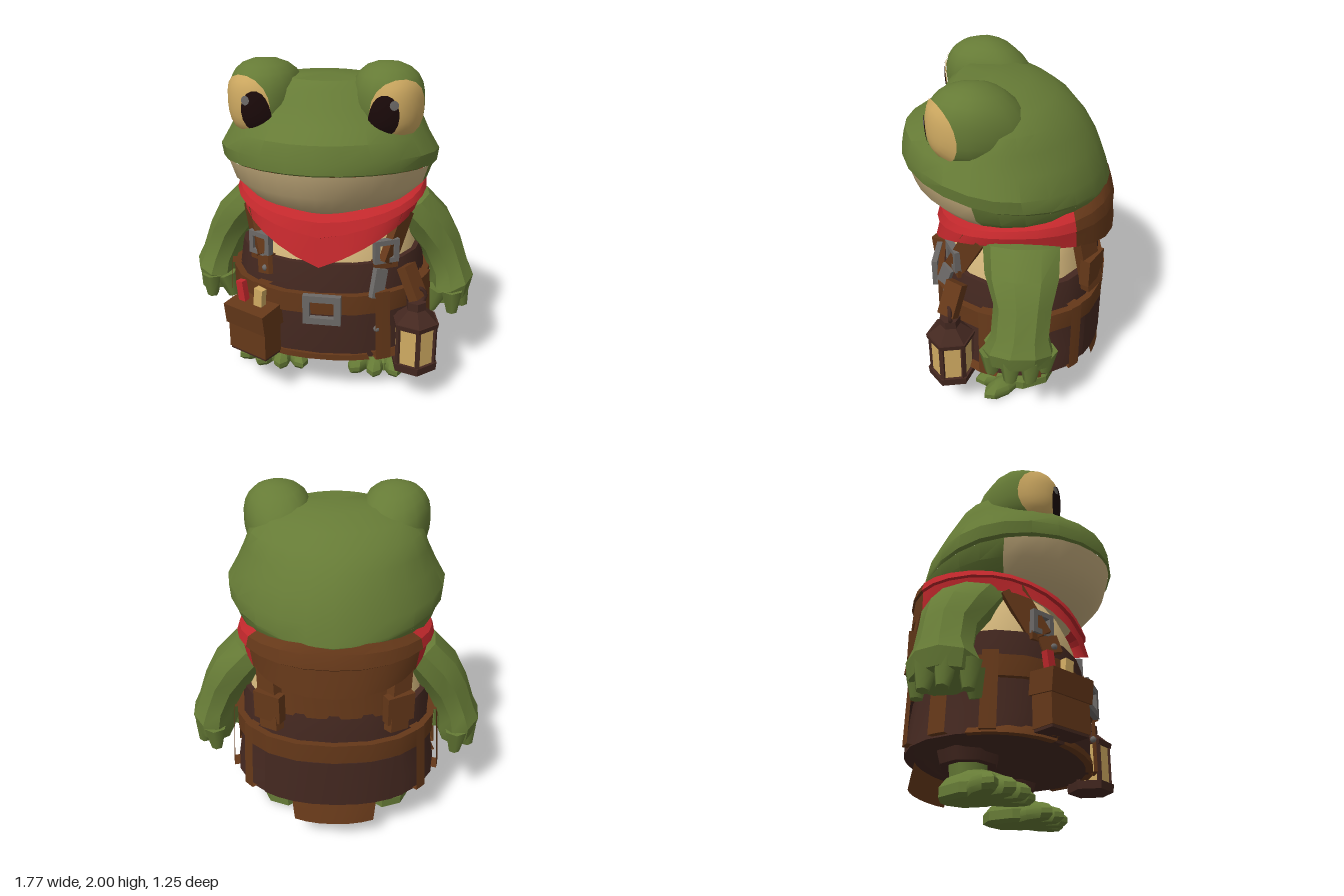
import * as THREE from 'three';
import { toCreasedNormals } from 'three/addons/utils/BufferGeometryUtils.js';

const PI = Math.PI;
const mat = (name, color, side = THREE.FrontSide) => {
  const m = new THREE.MeshStandardMaterial({ color, side });
  m.name = name;
  return m;
};

// Point on an oval at angle a (0 = front, growing toward +x); e < 1 is boxy, e > 1 is pointed
const bend = (v, e) => Math.sign(v) * Math.abs(v) ** e;
const oval = (a, y, w, zf, zb, e = 0.9) =>
  [w * bend(Math.sin(a), e), y, (zf + zb) / 2 + ((zf - zb) / 2) * bend(Math.cos(a), e)];

// Skin a grid of rows (bottom to top) across an arc; point(row, a) gives each corner
function loft(rows, point, n = 20, a0 = 0, a1 = 2 * PI, crease = 0.55) {
  const pos = [], idx = [];
  rows.forEach((row) => {
    for (let i = 0; i <= n; i++) pos.push(...point(row, a0 + ((a1 - a0) * i) / n));
  });
  for (let r = 0; r < rows.length - 1; r++)
    for (let i = 0; i < n; i++) {
      const k = r * (n + 1) + i, u = k + n + 1;
      idx.push(k, k + 1, u + 1, k, u + 1, u);
    }
  const g = new THREE.BufferGeometry();
  g.setAttribute('position', new THREE.Float32BufferAttribute(pos, 3));
  g.setIndex(idx);
  return toCreasedNormals(g, crease);
}

export function createModel() {
  const D = THREE.DoubleSide;
  const green = mat('frog green', 0x667b36), jaw = mat('jaw cream', 0xcab180), shirt = mat('shirt cream', 0xd8ba7e),
    amber = mat('amber', 0xd0ab62), red = mat('scarf red', 0xc2282c, D), dark = mat('dark leather', 0x442820, D),
    brown = mat('brown leather', 0x653819, D), grey = mat('iron grey', 0x6c6967), black = mat('pupil black', 0x1b0a0a);
  const model = new THREE.Group();
  const add = (name, g, m, parent = model) => {
    const mesh = new THREE.Mesh(g, m);
    mesh.name = name;
    parent.add(mesh);
    return mesh;
  };
  const group = (name, x, y, z, ry = 0) => {
    const g = new THREE.Group();
    g.name = name;
    g.position.set(x, y, z);
    g.rotation.y = ry;
    model.add(g);
    return g;
  };
  const box = (w, h, d, x = 0, y = 0, z = 0) => new THREE.BoxGeometry(w, h, d).translate(x, y, z);
  // Flat bar from p to q, its broad face turned away from the body's axis
  const beam = (name, m, p, q, w, d) => {
    const a = new THREE.Vector3(...p), b = new THREE.Vector3(...q);
    const Y = b.clone().sub(a), len = Y.length(), mid = a.add(b).multiplyScalar(0.5);
    Y.normalize();
    const Z = new THREE.Vector3(mid.x, 0, mid.z);
    Z.addScaledVector(Y, -Z.dot(Y)).normalize();
    const X = new THREE.Vector3().crossVectors(Y, Z);
    add(name, box(w, len, d).applyMatrix4(new THREE.Matrix4().makeBasis(X, Y, Z).setPosition(mid)), m);
  };
  const frame = (w, h, t, depth) => {
    const rect = (s, a, b) => s.moveTo(-a, -b).lineTo(a, -b).lineTo(a, b).lineTo(-a, b).closePath();
    const s = rect(new THREE.Shape(), w / 2, h / 2);
    s.holes.push(rect(new THREE.Path(), w / 2 - t, h / 2 - t));
    return new THREE.ExtrudeGeometry(s, { depth, bevelEnabled: false });
  };

  // Head: rows of [front y, back y, half width, front z, back z]
  const headPoint = ([yf, yb, w, zf, zb], a) => oval(a, yb + ((yf - yb) * (1 + Math.cos(a))) / 2, w, zf, zb, 1.08);
  const mouth = [1.475, 1.33, 0.6, 0.61, -0.575], corner = 1.3;
  const lower = [[1.18, 1.18, 0, 0, 0], [1.18, 1.2, 0.34, 0.37, -0.36], [1.24, 1.21, 0.48, 0.49, -0.5],
    [1.34, 1.28, 0.57, 0.57, -0.56], mouth];
  const upper = [mouth, [1.485, 1.35, 0.62, 0.625, -0.57], [1.55, 1.44, 0.63, 0.62, -0.545],
    [1.635, 1.56, 0.57, 0.595, -0.5], [1.7, 1.68, 0.525, 0.5, -0.43], [1.78, 1.77, 0.49, 0.4, -0.35],
    [1.86, 1.84, 0.41, 0.35, -0.25], [1.905, 1.9, 0.27, 0.3, -0.1], [1.915, 1.915, 0, 0.1, 0.1]];
  add('head', loft(upper, headPoint, 24), green);
  add('jaw', loft(lower, headPoint, 14, -corner, corner), jaw);
  add('nape', loft(lower, headPoint, 14, corner, 2 * PI - corner), green);

  // Trunk: rows of [y, half width, front z, back z]
  const ringPoint = ([y, w, zf, zb], a) => oval(a, y, w, zf, zb);
  add('shirt', loft([[0.82, 0.53, 0.37, -0.5], [1, 0.5, 0.35, -0.47], [1.15, 0.45, 0.28, -0.44], [1.25, 0.38, 0.22, -0.38]],
    ringPoint), shirt);
  add('backYoke', loft([[0.86, 0.54, 0.37, -0.535], [1, 0.52, 0.35, -0.525], [1.14, 0.48, 0.28, -0.52]], ringPoint,
    8, PI - 0.65, PI + 0.65), brown);
  add('trousers', loft([[0.25, 0, -0.1, -0.1], [0.25, 0.42, 0.22, -0.42], [0.28, 0.52, 0.32, -0.48], [0.28, 0.625, 0.42, -0.575],
    [0.4, 0.605, 0.425, -0.57], [0.6, 0.58, 0.425, -0.55], [0.75, 0.57, 0.415, -0.55], [0.88, 0.55, 0.395, -0.535],
    [0.88, 0.48, 0.33, -0.46]], ringPoint, 20, 0, 2 * PI, 0.4), dark);
  const strip = (name, m, y0, y1, grow, n, a0, a1, flare = 0) => {
    const o = (y, e, f) => [y, 0.58 + e + f, 0.425 + e, -0.555 - e];
    add(name, loft([o(y0, -0.03, flare), o(y0, grow, flare), o(y1, grow, 0), o(y1, -0.03, 0)], ringPoint, n, a0, a1, 0.4), m);
  };
  strip('belt', brown, 0.59, 0.71, 0.032, 20, 0, 2 * PI);
  for (const s of [-1, 1])
    for (const [a, w] of [[0.57, 0.08], [1.3, 0.08], [1.75, 0.09], [2.25, 0.07]])
      strip('beltTab', brown, 0.29, 0.73, 0.045, 2, s * a - w, s * a + w, 0.03);
  strip('hemPatch', brown, 0.275, 0.33, 0.015, 5, -1.5, -0.55, 0.05);
  strip('hemPatch', brown, 0.275, 0.32, 0.015, 4, 0.5, 1.4, 0.05);
  strip('hemPatch', brown, 0.275, 0.31, 0.012, 5, -0.45, 0.45, 0.03);
  strip('backPanel', dark, 0.28, 0.585, 0.025, 8, 2.45, 2 * PI - 2.45, 0.02);
  add('backFlap', loft([[0.13, 0.5, 0.4, -0.58], [0.2, 0.52, 0.4, -0.56], [0.3, 0.54, 0.4, -0.53]], ringPoint,
    6, PI - 0.45, PI + 0.45), brown);
  add('beltBuckle', frame(0.22, 0.18, 0.04, 0.035).translate(0.02, 0.63, 0.45), grey);

  // Scarf and the leather shawl behind it
  const wrapPoint = ([k, w, zf, zb], a) => {
    const c = Math.cos(a), s = Math.abs(Math.sin(a)), top = 1.265 - 0.08 * c + 0.025 * s * s;
    const hem = c > 0 ? 0.885 + 0.26 * s : 1.145 - 0.1 * c * c;
    return oval(a, top + (hem - top) * k, w, zf, zb);
  };
  const wrap = [[1, 0.53, 0.45, -0.62], [0.45, 0.55, 0.415, -0.6], [0.42, 0.57, 0.435, -0.61], [0.15, 0.555, 0.41, -0.59],
    [0, 0.5, 0.35, -0.56]];
  add('scarf', loft(wrap, wrapPoint, 20, -2.15, 2.15, 0.4), red);
  add('shawl', loft(wrap, wrapPoint, 8, 2.15, 2 * PI - 2.15, 0.4), brown);

  for (const s of [-1, 1]) {
    // Eye: a bulge sloping down into the head at the back, with eye, pupil and glint laid on it
    const bulge = (g) => {
      const p = g.attributes.position;
      for (let i = 0; i < p.count; i++) {
        const x = p.getX(i), y = p.getY(i), z = p.getZ(i), k = Math.sqrt(1 + 0.6 * y * y), back = Math.max(0, -z);
        p.setXYZ(i, s * (0.34 - 0.05 * back) + x * k * 0.2, 1.785 + y * 0.215 - 0.1 * back * back,
          0.17 + z * (z > 0 ? 0.24 * k : 0.32));
      }
      return toCreasedNormals(g, 0.6);
    };
    const patch = (cx, cy, rx, ry, r) => {
      const g = new THREE.RingGeometry(0, 1, 18, 5), p = g.attributes.position;
      for (let i = 0; i < p.count; i++) {
        const u = cx + p.getX(i) * rx, v = cy + p.getY(i) * ry;
        p.setXYZ(i, u * r, v * r, r * Math.sqrt(Math.max(0, 1 - u * u - v * v)));
      }
      return bulge(g.rotateY(s * 0.47));
    };
    add('browBulge', bulge(new THREE.SphereGeometry(1, 16, 12)), green);
    add('eye', patch(0, -0.06, 0.76, 0.74, 1.025), amber);
    add('pupil', patch(s * -0.42, -0.17, 0.34, 0.52, 1.045), black);
    add('glint', patch(s * -0.22, 0.12, 0.11, 0.11, 1.06), grey);

    // Arm: rows of [x, y, z, half width, half depth], from hand to shoulder
    const arm = [[0.755, 0.52, -0.1, 0, 0], [0.755, 0.52, -0.1, 0.11, 0.18], [0.75, 0.61, -0.1, 0.135, 0.2],
      [0.73, 0.7, -0.11, 0.115, 0.165], [0.665, 0.86, -0.12, 0.125, 0.165], [0.575, 1, -0.11, 0.14, 0.21],
      [0.46, 1.13, -0.1, 0.13, 0.22], [0.4, 1.18, -0.1, 0, 0]];
    add('arm', loft(arm, ([x, y, z, w, d], a) => [s * x + w * Math.sin(a), y + s * w * 0.35 * Math.sin(a), z + d * Math.cos(a)],
      9, 0, 2 * PI, 0.5), green);
    for (const [x, z, tilt] of [[0.65, 0.03, -0.3], [0.76, 0.05, 0.05], [0.815, -0.06, 0.2], [0.81, -0.17, 0.15], [0.73, -0.25, 0]]) {
      const f = add('finger', new THREE.CylinderGeometry(0.07, 0.035, 0.15, 6), green);
      f.position.set(s * x, 0.525, z);
      f.rotation.z = s * tilt;
    }

    // Leg, webbed foot and toes
    add('leg', new THREE.CylinderGeometry(0.125, 0.1, 0.24, 8).translate(s * 0.31, 0.2, -0.14), green);
    const foot = group('foot', s * 0.33, 0, -0.1, s * 0.15);
    const pad = (name, rx, ry, rz, x, y, z, turn) => {
      const g = new THREE.SphereGeometry(1, 8, 7).scale(rx, ry, rz).rotateY(turn).translate(x, y, z), p = g.attributes.position;
      for (let i = 0; i < p.count; i++) p.setY(i, Math.max(0.005, p.getY(i)));
      add(name, toCreasedNormals(g, 0.5), green, foot);
    };
    pad('sole', 0.16, 0.12, 0.22, 0, 0.05, 0.01, 0);
    for (const t of [-0.6, -0.2, 0.2, 0.6])
      pad('toe', 0.065, 0.065, 0.15, Math.sin(t) * 0.24, 0.045, Math.cos(t) * 0.16, t);
    add('trouserCuff', new THREE.CylinderGeometry(0.18, 0.16, 0.07, 8).translate(s * 0.31, 0.235, -0.14), dark);

    // Braces with buckles, front and back
    beam('frontBrace', brown, [s * 0.46, 1.15, 0.16], [s * 0.37, 0.87, 0.295], 0.13, 0.045);
    const b = group('braceBuckle', s * 0.355, 0.95, 0.285, s * 0.5);
    add('buckleFrame', frame(0.15, 0.14, 0.03, 0.04), grey, b);
    add('buckleLoop', box(0.15, 0.05, 0.05, 0, -0.085, 0), brown, b);
    beam('backBrace', brown, [s * 0.37, 1.2, -0.42], [s * 0.35, 0.78, -0.5], 0.13, 0.06);
    add('backLoop', box(0.17, 0.17, 0.06).rotateY(-s * 0.5).translate(s * 0.36, 0.92, -0.49), brown);
  }
  beam('braceTab', grey, [0.34, 0.85, 0.335], [0.32, 0.69, 0.39], 0.085, 0.035);
  beam('braceTab', brown, [-0.34, 0.88, 0.32], [-0.33, 0.78, 0.35], 0.12, 0.03);
  add('stud', new THREE.SphereGeometry(0.02, 8, 6).translate(-0.33, 0.82, 0.36), grey);
  add('stud', new THREE.SphereGeometry(0.02, 8, 6).translate(0.33, 0.49, 0.395), grey);

  // Tool pouch with flap and pencils
  const pouch = group('toolPouch', -0.395, 0.46, 0.41, -0.48);
  add('pouchBody', box(0.28, 0.27, 0.14, 0, -0.02, 0), brown, pouch);
  add('pouchFlap', box(0.3, 0.13, 0.17).rotateX(0.12).translate(0, 0.085, 0.005), brown, pouch);
  add('pouchBase', box(0.27, 0.03, 0.13, 0, -0.155, 0), dark, pouch);
  add('redTool', box(0.05, 0.16, 0.04).rotateZ(0.15).translate(-0.08, 0.19, 0), red, pouch);
  add('yellowTool', box(0.06, 0.14, 0.04).rotateZ(-0.1).translate(0.05, 0.19, 0), amber, pouch);

  // Lantern hung from a strap
  beam('lanternStrap', brown, [0.48, 0.85, 0.27], [0.56, 0.67, 0.32], 0.11, 0.06);
  const lantern = group('lantern', 0.55, 0, 0.31, 0.2);
  const drum = (name, r1, r0, y0, y1, m) =>
    add(name, toCreasedNormals(new THREE.CylinderGeometry(r1, r0, y1 - y0, 6).translate(0, (y0 + y1) / 2, 0), 0.3), m, lantern);
  drum('lanternBase', 0.145, 0.14, 0.22, 0.27, dark);
  drum('lanternGlass', 0.125, 0.125, 0.26, 0.5, amber);
  drum('lanternEaves', 0.145, 0.14, 0.5, 0.53, dark);
  drum('lanternRoof', 0.055, 0.135, 0.53, 0.6, dark);
  drum('lanternCap', 0.06, 0.06, 0.6, 0.65, dark);
  add('lanternRing', new THREE.TorusGeometry(0.05, 0.014, 6, 12).translate(0, 0.68, 0), dark, lantern);
  for (let i = 0; i < 6; i++)
    add('lanternPost', box(0.026, 0.24, 0.026, 0, 0.385, 0.12).rotateY((i * PI) / 3), dark, lantern);

  return model;
}
